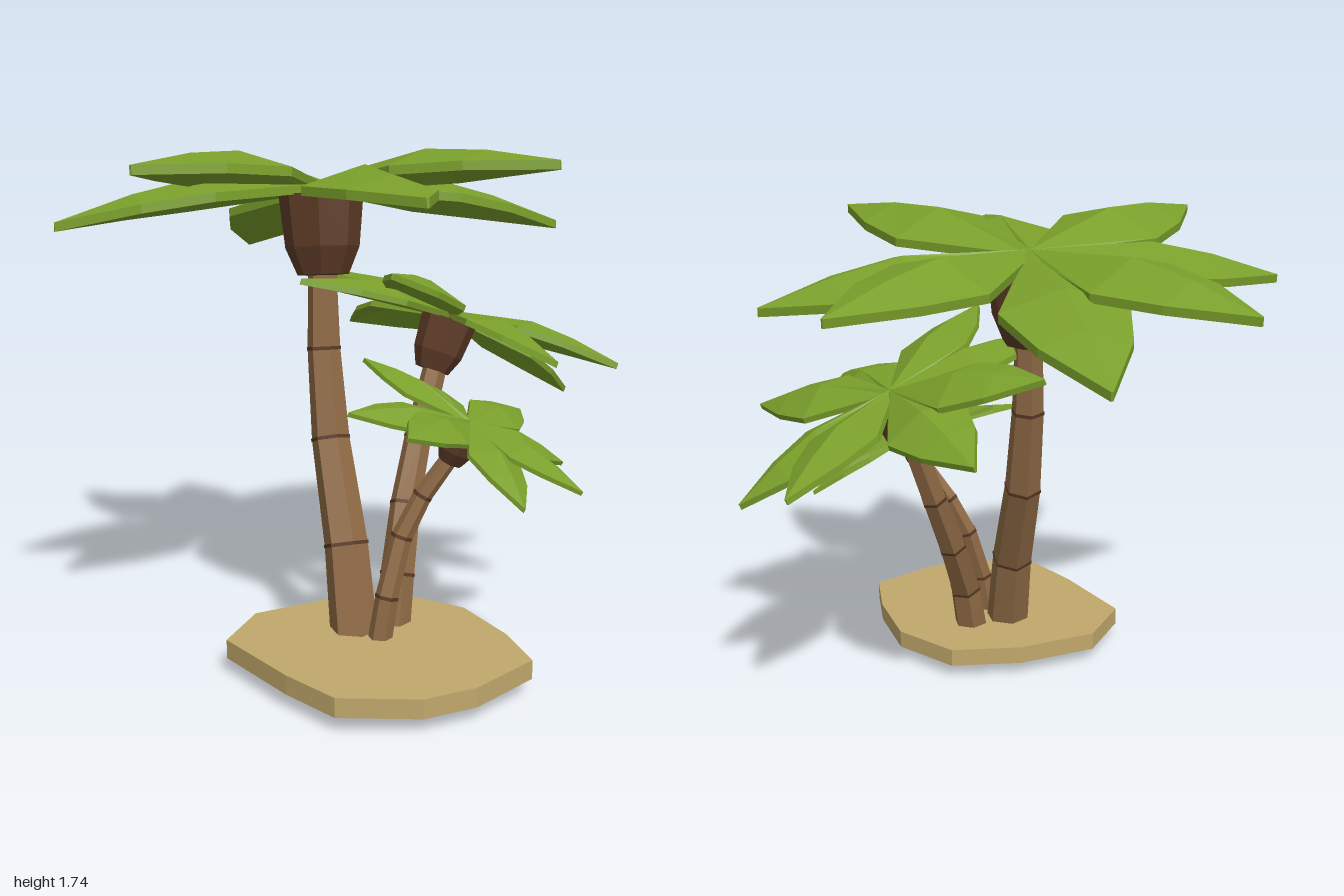
import * as THREE from 'three';

const mat = (color) => new THREE.MeshStandardMaterial({ color, flatShading: true });
const leafMat = mat(0x7a9f2b), barkMat = mat(0x8f6a45), ringMat = mat(0x5a3a26);
const huskMat = mat(0x5e3b27), sandMat = mat(0xc1a86c);
const V = (x, y, z) => new THREE.Vector3(x, y, z);

// Closed skin over equal-sized loops of points, right-handed about the travel direction
function loft(loops) {
  const pos = [], n = loops[0].length;
  const tri = (...pts) => pts.forEach((p) => pos.push(p.x, p.y, p.z));
  for (let i = 0; i + 1 < loops.length; i++) {
    for (let j = 0; j < n; j++) {
      const k = (j + 1) % n, A = loops[i], B = loops[i + 1];
      tri(A[j], A[k], B[k]);
      tri(A[j], B[k], B[j]);
    }
  }
  const first = loops[0], last = loops[loops.length - 1];
  for (let j = 1; j + 1 < n; j++) {
    tri(first[0], first[j + 1], first[j]);
    tri(last[0], last[j], last[j + 1]);
  }
  const geo = new THREE.BufferGeometry();
  geo.setAttribute('position', new THREE.Float32BufferAttribute(pos, 3));
  geo.computeVertexNormals();
  return geo;
}

function part(geo, material, name) {
  const mesh = new THREE.Mesh(geo, material);
  mesh.name = name;
  return mesh;
}

// Polygon ring square to a direction
function ring(center, dir, r, sides = 6) {
  const u = V(1, 0, 0).addScaledVector(dir, -dir.x).normalize();
  const v = dir.clone().cross(u);
  return Array.from({ length: sides }, (_, i) => {
    const a = ((i + 0.5) / sides) * Math.PI * 2;
    return center.clone().addScaledVector(u, r * Math.cos(a)).addScaledVector(v, r * Math.sin(a));
  });
}

// Bent, tapering trunk with a dark band at each joint
function trunk(points, r0, r1, name) {
  const g = new THREE.Group();
  g.name = name;
  const p = points.map((q) => V(...q)), n = p.length - 1;
  const dirs = p.map((_, i) => p[Math.min(i + 1, n)].clone().sub(p[Math.max(i - 1, 0)]).normalize());
  const radius = (i) => r0 + ((r1 - r0) * i) / n;
  g.add(part(loft(p.map((q, i) => ring(q, dirs[i], radius(i)))), barkMat, 'trunkBark'));
  for (let i = 1; i < n; i++) {
    const band = [-0.006, 0.006].map((d) => ring(p[i].clone().addScaledVector(dirs[i], d), dirs[i], radius(i) * 1.04));
    g.add(part(loft(band), ringMat, 'trunkBand'));
  }
  return g;
}

// Thick folded leaf along +x: position, half width, rib height, edge height
function leafGeometry(drop) {
  const length = 0.92, thick = 0.03;
  const stations = [[0, 0.015, 0.015, 0], [0.47, 0.215, 0.08, 0.01], [0.72, 0.15, 0.055, 0.01], [1, 0.004, 0.0, 0]];
  return loft(stations.map(([t, w, rib, edge]) => {
    const x = t * length, y = -drop * t;
    const top = [V(x, y + edge, -w), V(x, y + rib, 0), V(x, y + edge, w)];
    const under = top.map((q) => V(q.x, q.y - thick, q.z)).reverse();
    return [...top, ...under];
  }));
}

// Crown: four drooping leaves, four level ones, and the husk beneath
function crown(center, axis, yaw, scale, name) {
  const g = new THREE.Group();
  g.name = name;
  const drooping = leafGeometry(0.13), level = leafGeometry(0);
  for (let i = 0; i < 4; i++) {
    [[drooping, 0], [level, 56]].forEach(([geo, offset]) => {
      const leaf = part(geo, leafMat, 'leaf');
      leaf.rotation.y = -THREE.MathUtils.degToRad(i * 90 + offset + yaw);
      g.add(leaf);
    });
  }
  const profile = [[0, -0.32], [0.09, -0.315], [0.13, -0.22], [0.148, -0.04], [0, -0.03]];
  g.add(part(new THREE.LatheGeometry(profile.map((q) => new THREE.Vector2(...q)), 8, Math.PI / 8), huskMat, 'husk'));
  g.position.set(...center);
  g.quaternion.setFromUnitVectors(V(0, 1, 0), V(...axis).normalize());
  g.scale.setScalar(scale);
  return g;
}

export function createModel() {
  const model = new THREE.Group();
  model.name = 'palmIsland';

  // Sand patch
  const outline = [[-0.08, 0.93], [0.11, 0.91], [0.37, 0.78], [0.39, 0.55], [0.36, 0.28], [0.2, 0.07],
    [-0.06, 0.03], [-0.36, 0.08], [-0.52, 0.28], [-0.42, 0.62], [-0.33, 0.83]];
  const shape = new THREE.Shape(outline.map(([x, z]) => new THREE.Vector2(x, -z)));
  const sand = part(new THREE.ExtrudeGeometry(shape, { depth: 0.065, bevelEnabled: false }), sandMat, 'sand');
  sand.rotation.x = -Math.PI / 2;
  sand.position.y = 0.055;
  model.add(sand);

  // Tall palm
  model.add(trunk([[-0.08, 0.03, 0.35], [-0.08, 0.4, 0.25], [-0.08, 0.74, 0.09], [-0.08, 1.05, 0.02], [-0.075, 1.34, -0.01]],
    0.085, 0.05, 'tallTrunk'));
  model.add(crown([-0.07, 1.62, -0.04], [0.02, 1, -0.14], 0, 1, 'tallCrown'));

  // Middle palm
  model.add(trunk([[0.06, 0.03, 0.32], [0.1, 0.28, 0.28], [0.17, 0.5, 0.18], [0.25, 0.72, 0.1], [0.335, 0.96, 0.05]],
    0.065, 0.043, 'middleTrunk'));
  model.add(crown([0.41, 1.15, 0.02], [0.41, 1, -0.09], -11, 0.69, 'middleCrown'));

  // Small palm
  model.add(trunk([[-0.03, 0.07, 0.43], [0.0, 0.26, 0.43], [0.06, 0.46, 0.41], [0.13, 0.6, 0.42], [0.215, 0.73, 0.45]],
    0.042, 0.03, 'smallTrunk'));
  model.add(crown([0.26, 0.86, 0.5], [0.35, 1, 0.28], -5, 0.48, 'smallCrown'));

  return model;
}
